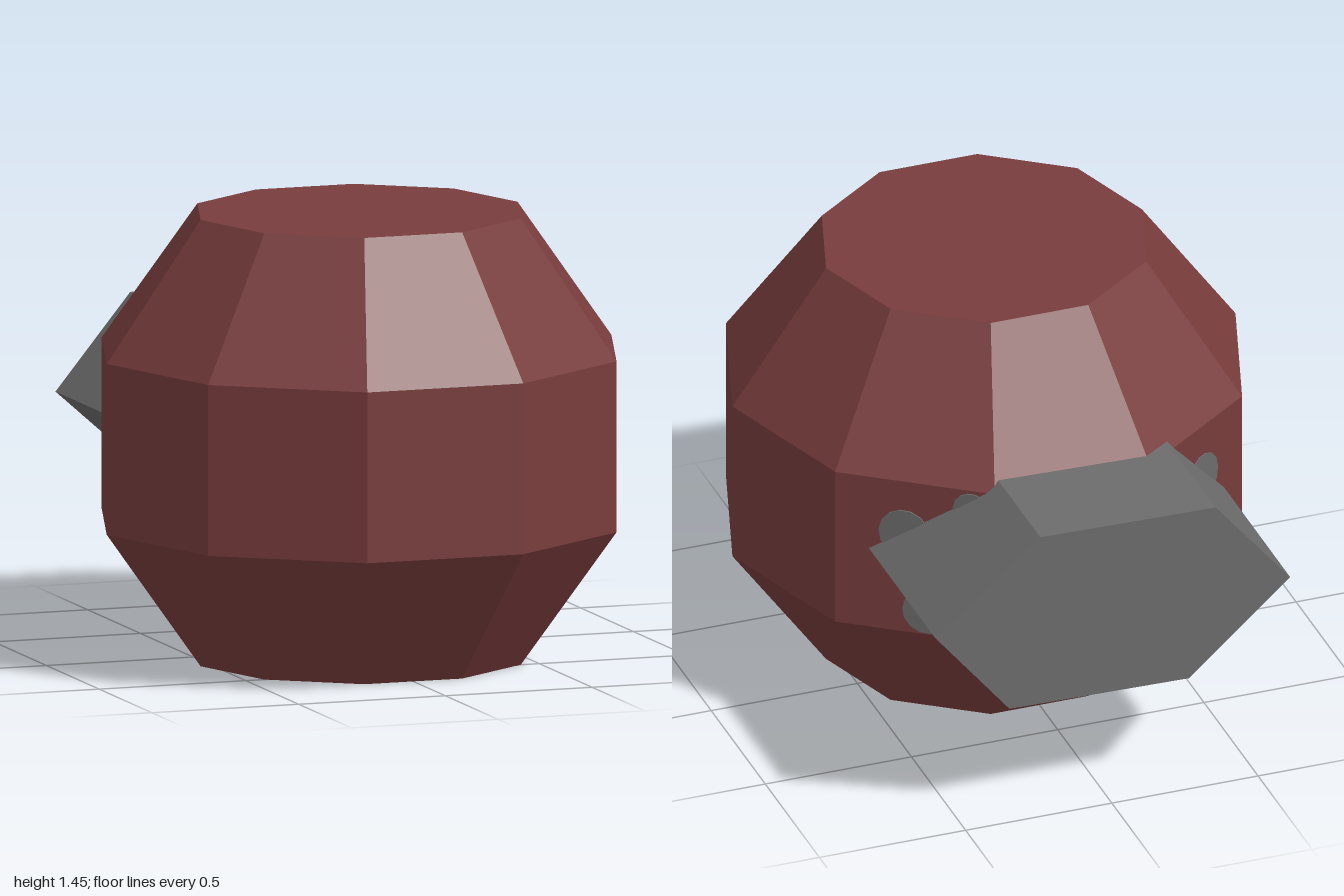
import * as THREE from 'three';

export function createModel() {
  const group = new THREE.Group();
  const maroon = new THREE.MeshStandardMaterial({ name: 'maroon', color: 0x783c3c, flatShading: true });
  const grey = new THREE.MeshStandardMaterial({ name: 'grey', color: 0x6c6c6c, flatShading: true });

  const add = (name, geometry, material) => {
    const mesh = new THREE.Mesh(geometry, material);
    mesh.name = name;
    group.add(mesh);
    return mesh;
  };

  // Ten-sided barrel with sloped shoulders and closed ends
  const profile = [[0, 0], [0.54, 0], [0.86, 0.445], [0.86, 1.0], [0.54, 1.45], [0, 1.45]]
    .map(([r, y]) => new THREE.Vector2(r, y));
  add('body', new THREE.LatheGeometry(profile, 10, Math.PI / 10), maroon).position.z = 0.182;

  // Flattened, slightly skewed six-sided block sunk into the back
  const hexagon = new THREE.Shape([
    [0.605, 0.735], [0.245, 1.035], [-0.355, 1.025],
    [-0.61, 0.715], [-0.265, 0.41], [0.35, 0.42],
  ].map(([x, y]) => new THREE.Vector2(x, y)));
  const block = new THREE.ExtrudeGeometry(hexagon, { depth: 0.75, bevelEnabled: false });
  add('backBlock', block, grey).position.z = -1;

  // Thin round patches where the block meets the angled back faces
  const patch = (x, y, radius) => {
    const side = Math.sign(x);
    const normal = new THREE.Vector3(0.588 * side, 0, -0.809);
    const mesh = add('jointPatch', new THREE.CylinderGeometry(radius, radius, 0.008, 14), grey);
    mesh.position.set(x, y, -0.324 - (0.696 - Math.abs(x)) * 0.7265);
    mesh.quaternion.setFromUnitVectors(new THREE.Vector3(0, 1, 0), normal);
  };
  for (const side of [1, -1]) {
    patch(0.51 * side, 0.81, 0.085);
    patch(0.45 * side, 0.53, 0.08);
  }
  patch(0.33, 0.93, 0.06);

  return group;
}
